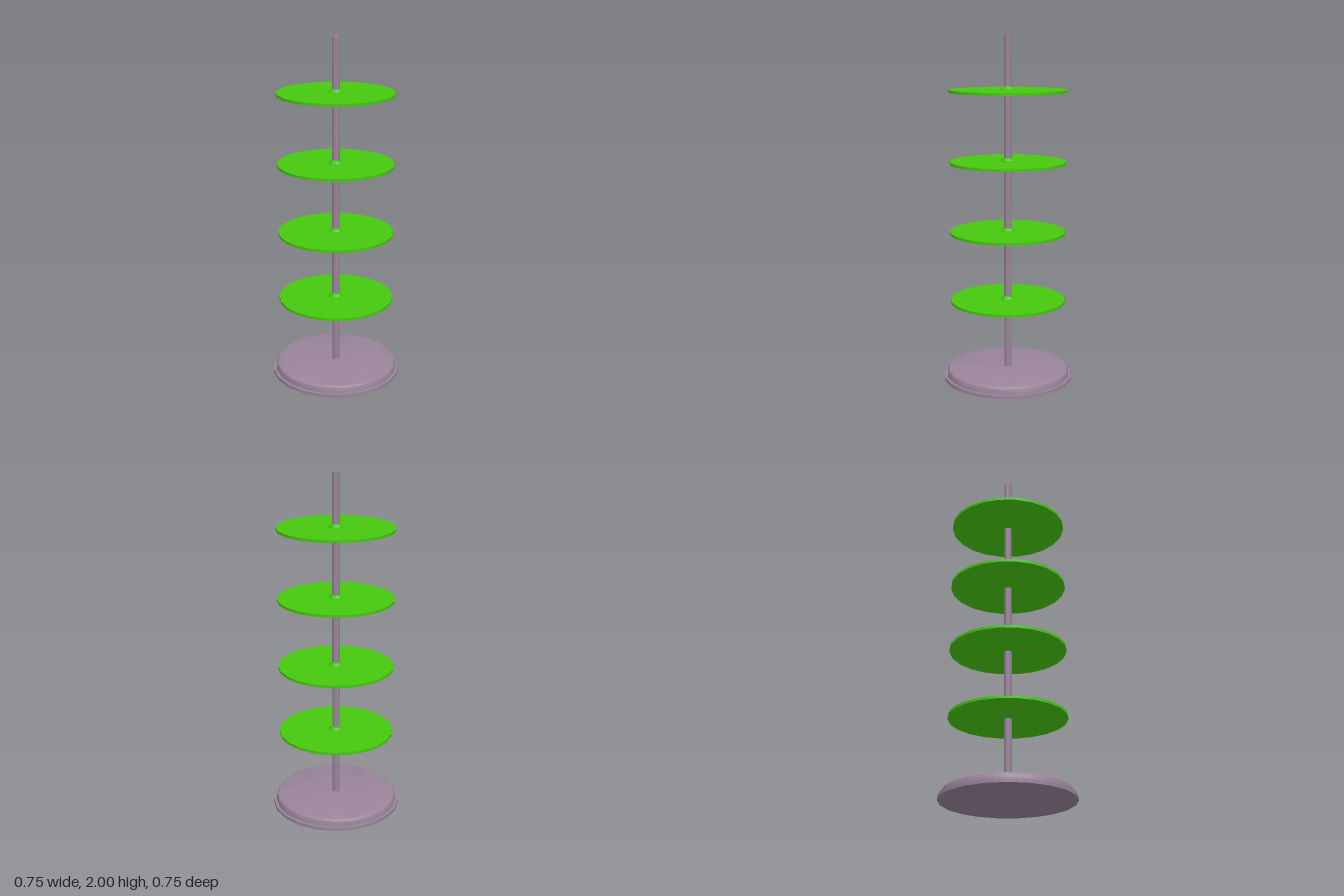
import * as THREE from 'three';
import { toCreasedNormals } from 'three/addons/utils/BufferGeometryUtils.js';

const mauve = new THREE.MeshStandardMaterial({ color: 0x9a849a });
const green = new THREE.MeshStandardMaterial({ color: 0x46c80e });

// Turned part with a corner on the +x side and crisp edges
function turned(name, profile, sides, material) {
  const points = profile.map(([r, y]) => new THREE.Vector2(r, y));
  const lathe = new THREE.LatheGeometry(points, sides, Math.PI / 2);
  const mesh = new THREE.Mesh(toCreasedNormals(lathe, 0.6), material);
  mesh.name = name;
  return mesh;
}

export function createModel() {
  const model = new THREE.Group();
  model.name = 'tieredStand';

  // Foot: thin flange, then a raised plate with a rounded top edge
  const foot = [[0, 0], [0.378, 0], [0.378, 0.02], [0.362, 0.02], [0.36, 0.042]];
  for (let i = 1; i <= 4; i++) {
    const a = (i / 4) * Math.PI / 2;
    foot.push([0.34 + 0.02 * Math.cos(a), 0.042 + 0.02 * Math.sin(a)]);
  }
  foot.push([0, 0.064]);
  model.add(turned('base', foot, 21, mauve));

  // Central pole
  model.add(turned('pole', [[0, 0.03], [0.022, 0.03], [0.022, 2], [0, 2]], 24, mauve));

  // Four shelves, each with a small collar around the pole
  for (let i = 0; i < 4; i++) {
    const tier = new THREE.Group();
    tier.name = `tier${i + 1}`;
    tier.position.y = 0.461 + i * 0.4065;
    tier.add(turned('shelf', [[0, 0], [0.335, 0], [0.335, 0.015], [0, 0.015]], 22, green));
    tier.add(turned('collar',
      [[0.041, 0.013], [0.041, 0.018], [0.032, 0.027], [0.03, 0.034], [0.02, 0.034]], 32, green));
    model.add(tier);
  }

  model.position.x = -0.002;
  return model;
}
